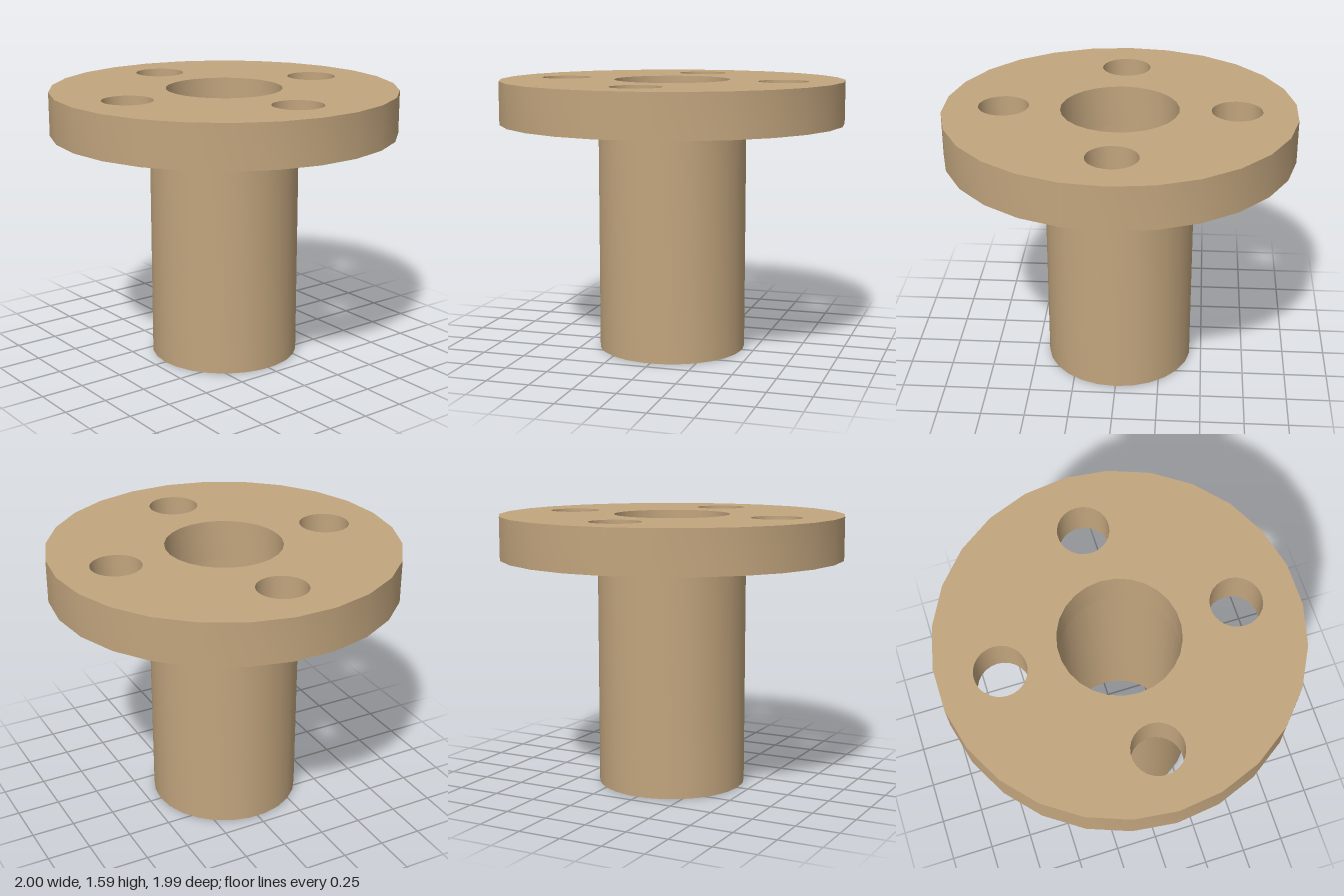
import * as THREE from 'three';
import { toCreasedNormals } from 'three/addons/utils/BufferGeometryUtils.js';

const SIDES = 26;
const HEIGHT = 1.585, FLANGE_BOTTOM = 1.337;
const FLANGE_R = 1, TUBE_R = 0.432, BORE_R = 0.336;
const BOLT_R = 0.144, BOLT_CIRCLE = 0.657;

// Points of a regular polygon standing in for a circle
function ring(radius, cx = 0, cy = 0) {
  return Array.from({ length: SIDES }, (_, i) => {
    const a = (i / SIDES) * Math.PI * 2;
    return new THREE.Vector2(cx + radius * Math.cos(a), cy + radius * Math.sin(a));
  });
}

export function createModel() {
  const group = new THREE.Group();
  group.name = 'flangedBushing';
  const material = new THREE.MeshStandardMaterial({ color: 0xc2a57e });

  // Flange plate with the central bore and four bolt holes
  const shape = new THREE.Shape(ring(FLANGE_R));
  shape.holes.push(new THREE.Path(ring(BORE_R)));
  for (let i = 0; i < 4; i++) {
    const a = (i * Math.PI) / 2;
    shape.holes.push(new THREE.Path(ring(BOLT_R, BOLT_CIRCLE * Math.cos(a), BOLT_CIRCLE * Math.sin(a))));
  }
  const plate = new THREE.ExtrudeGeometry(shape, { depth: HEIGHT - FLANGE_BOTTOM, bevelEnabled: false });
  plate.rotateX(-Math.PI / 2);
  const flange = new THREE.Mesh(toCreasedNormals(plate, 0.6), material);
  flange.name = 'flange';
  flange.position.y = FLANGE_BOTTOM;
  group.add(flange);

  // Hollow sleeve: bore wall, bottom rim and outer wall
  const profile = [
    [BORE_R, FLANGE_BOTTOM], [BORE_R, 0], [TUBE_R, 0], [TUBE_R, FLANGE_BOTTOM],
  ].map(([r, y]) => new THREE.Vector2(r, y));
  const wall = new THREE.LatheGeometry(profile, SIDES);
  wall.rotateY(Math.PI / 2); // line the sides up with the flange bore
  const sleeve = new THREE.Mesh(toCreasedNormals(wall, 0.6), material);
  sleeve.name = 'sleeve';
  group.add(sleeve);

  return group;
}
